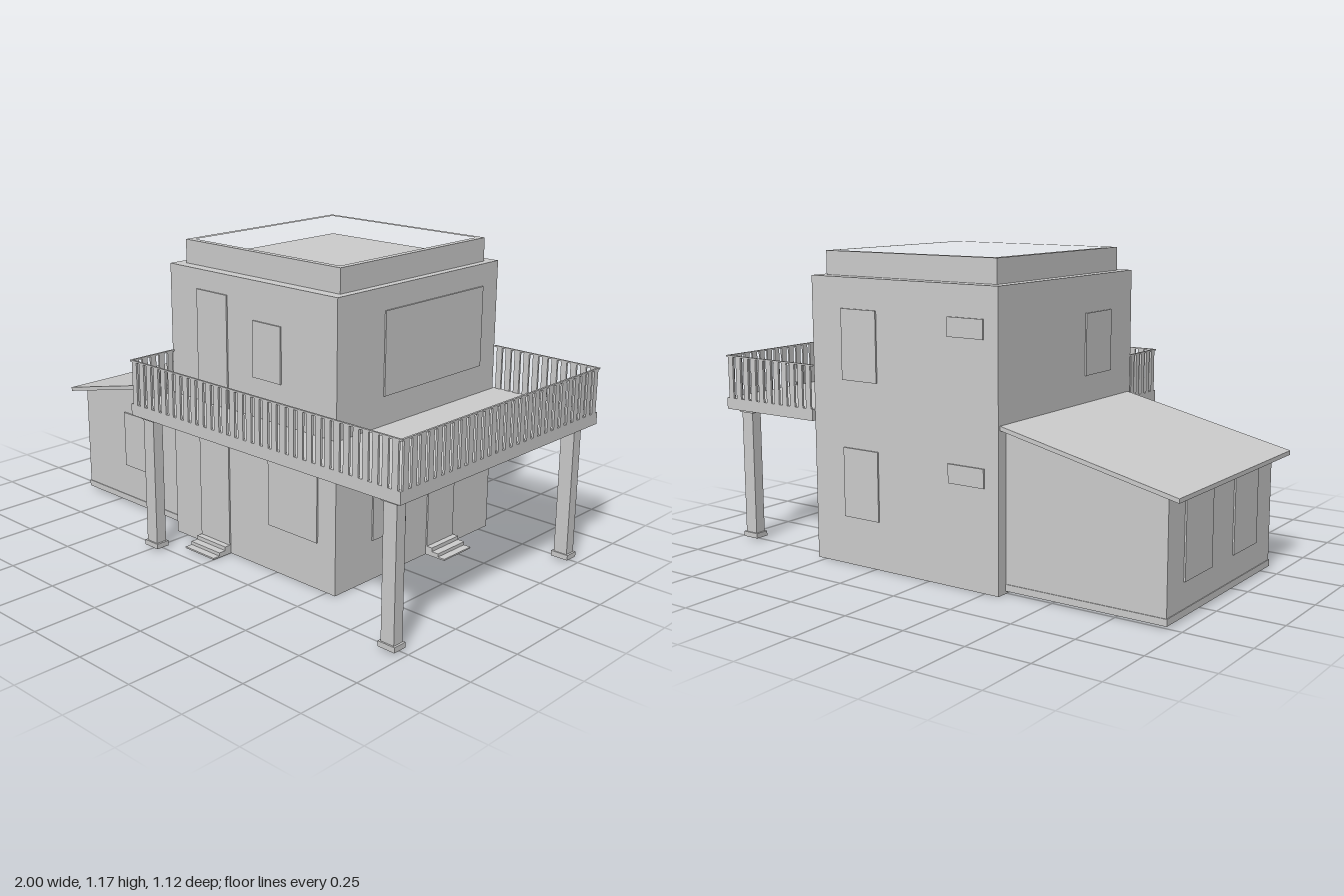
import * as THREE from 'three';

const material = new THREE.MeshStandardMaterial({ color: 0xcccccc, flatShading: true });
const shellMaterial = new THREE.MeshStandardMaterial({ color: 0xcccccc, flatShading: true, side: THREE.DoubleSide });

// Tower and annex footprints
const T = { x0: -0.31, x1: 0.54, z0: -0.55, z1: 0.35, top: 1.085 };
const A = { x0: -0.945, x1: -0.31, z0: -0.505, z1: 0.295 };
const DECK_Y = 0.58, RAIL_Y = 0.75;

export function createModel() {
  const model = new THREE.Group();

  function add(name, geometry, mat = material, parent = model) {
    const mesh = new THREE.Mesh(geometry, mat);
    mesh.name = name;
    parent.add(mesh);
    return mesh;
  }

  // Box given by its minimum and maximum on each axis
  function boxGeo(x0, x1, y0, y1, z0, z1) {
    return new THREE.BoxGeometry(x1 - x0, y1 - y0, z1 - z0)
      .translate((x0 + x1) / 2, (y0 + y1) / 2, (z0 + z1) / 2);
  }
  const box = (name, b, parent = model) => add(name, boxGeo(...b), material, parent);

  // Box walls with chosen faces left out (2 = top, 3 = bottom)
  function shellGeo(b, omit) {
    const g = boxGeo(...b);
    const index = Array.from(g.index.array);
    g.setIndex(index.filter((_, i) => !omit.includes(Math.floor(i / 6))));
    g.clearGroups();
    return g;
  }

  // Horizontal slab from an outline of [x, z] points
  function slab(points, y0, y1, hole) {
    const toV = ([x, z]) => new THREE.Vector2(x, -z);
    const shape = new THREE.Shape(points.map(toV));
    if (hole) shape.holes.push(new THREE.Path(hole.map(toV)));
    return new THREE.ExtrudeGeometry(shape, { depth: y1 - y0, bevelEnabled: false })
      .rotateX(-Math.PI / 2).translate(0, y0, 0);
  }
  const rect = (x0, x1, z0, z1) => [[x0, z0], [x1, z0], [x1, z1], [x0, z1]];

  // Tower, open below, with its roof parapet
  add('towerWalls', shellGeo([T.x0, T.x1, 0, T.top, T.z0, T.z1], [3]), shellMaterial);
  add('roofParapet', slab(rect(-0.27, 0.51, -0.5, 0.305), T.top, 1.175, rect(-0.245, 0.485, -0.475, 0.28)));

  // Annex walls follow the slope of the lean-to roof
  const roofY = x => 0.435 + (x + 1) * 0.155 / 0.69;
  const annex = shellGeo([A.x0, A.x1, 0.01, 0.4, A.z0, A.z1], [2, 3]);
  const p = annex.attributes.position;
  for (let i = 0; i < p.count; i++) if (p.getY(i) > 0.3) p.setY(i, roofY(p.getX(i)));
  add('annexWalls', annex, shellMaterial);
  add('annexPlinth', slab(rect(A.x0 - 0.003, A.x1, A.z0 - 0.003, A.z1 + 0.003), 0.01, 0.035,
    rect(A.x0 + 0.003, A.x1 - 0.003, A.z0 + 0.003, A.z1 - 0.003)));
  const roof = boxGeo(-1, T.x0, 0, 0.016, -0.54, 0.335);
  const r = roof.attributes.position;
  for (let i = 0; i < r.count; i++) r.setY(i, r.getY(i) + roofY(r.getX(i)));
  add('annexRoof', roof);

  // L-shaped deck wrapping the front and left of the tower
  add('deck', slab([[T.x0, T.z1], [T.x1, T.z1], [T.x1, -0.565], [1, -0.565], [1, 0.56], [T.x0, 0.56]], 0.535, DECK_Y));

  // Railing: slats and a thin handrail along each deck edge
  const railing = new THREE.Group();
  railing.name = 'railing';
  model.add(railing);
  const edge = [[-0.306, T.z1], [-0.306, 0.556], [0.996, 0.556], [0.996, -0.561], [T.x1, -0.561]];
  for (let i = 0; i + 1 < edge.length; i++) {
    const [ax, az] = edge[i], [bx, bz] = edge[i + 1];
    const length = Math.hypot(bx - ax, bz - az);
    const side = new THREE.Group();
    side.name = 'railingSide';
    side.position.set((ax + bx) / 2, 0, (az + bz) / 2);
    side.rotation.y = Math.atan2(az - bz, bx - ax);
    railing.add(side);
    box('handrail', [-length / 2 - 0.004, length / 2 + 0.004, RAIL_Y - 0.006, RAIL_Y, -0.004, 0.004], side);
    const count = Math.round(length / 0.041);
    const slat = boxGeo(-0.0125, 0.0125, DECK_Y, RAIL_Y - 0.006, -0.004, 0.004);
    for (let k = 0; k < count; k++) {
      add('slat', slat, material, side).position.x = -length / 2 + (k + 0.5) * length / count;
    }
  }

  // Deck columns with base and cap
  for (const [x, z] of [[-0.25, 0.508], [0.935, 0.508], [0.935, -0.5]]) {
    const column = new THREE.Group();
    column.name = 'deckColumn';
    column.position.set(x, 0, z);
    model.add(column);
    box('columnBase', [-0.036, 0.036, 0.008, 0.028, -0.028, 0.028], column);
    box('columnShaft', [-0.028, 0.028, 0.028, 0.52, -0.022, 0.022], column);
    box('columnCap', [-0.036, 0.036, 0.52, 0.536, -0.028, 0.028], column);
  }

  // Steps at both ground doors
  for (let i = 0; i < 3; i++) {
    const reach = 0.03 * (i + 1), y0 = 0.02 - 0.01 * i, y1 = [0.034, 0.019, 0.006][i];
    box('frontStep', [-0.16, 0, Math.max(0, y0 - 0.01), y1, T.z1, T.z1 + reach]);
    box('sideStep', [T.x1, T.x1 + reach, Math.max(0, y0 - 0.01), y1, -0.325, -0.162]);
  }

  // Doors and windows as thin panels: [name, from, to, bottom, top]
  const D = 0.006;
  const onZ = (z, list) => list.forEach(([n, a, b, y0, y1]) => box(n, [a, b, y0, y1, z - D, z + D]));
  const onX = (x, list) => list.forEach(([n, a, b, y0, y1]) => box(n, [x - D, x + D, y0, y1, a, b]));
  onZ(T.z1, [
    ['frontDoor', -0.16, 0, 0.034, 0.475],
    ['deckDoor', -0.16, 0, DECK_Y, 1.01],
    ['upperFrontWindow', 0.135, 0.275, 0.73, 0.94],
    ['lowerFrontWindow', 0.21, 0.455, 0.18, 0.46],
  ]);
  onX(T.x1, [
    ['largeUpperWindow', -0.455, 0.105, 0.69, 1.0],
    ['lowerSideWindow', -0.03, 0.155, 0.155, 0.465],
    ['sideDoor', -0.32, -0.162, 0.034, 0.475],
  ]);
  for (const y of [0, 0.52]) {
    onZ(T.z0, [
      ['backWindow', 0.23, 0.395, 0.185 + y, 0.45 + y],
      ['smallBackWindow', -0.25, -0.095, 0.38 + y, 0.45 + y],
    ]);
  }
  onX(T.x0, [['upperRightWindow', 0.01, 0.19, 0.71, 0.945]]);
  onX(A.x0, [
    ['annexWindow', -0.39, -0.19, 0.13, 0.415],
    ['annexWindow', -0.02, 0.17, 0.13, 0.415],
  ]);
  onZ(A.z1, [['annexFrontWindow', -0.69, -0.56, 0.17, 0.4]]);

  return model;
}
